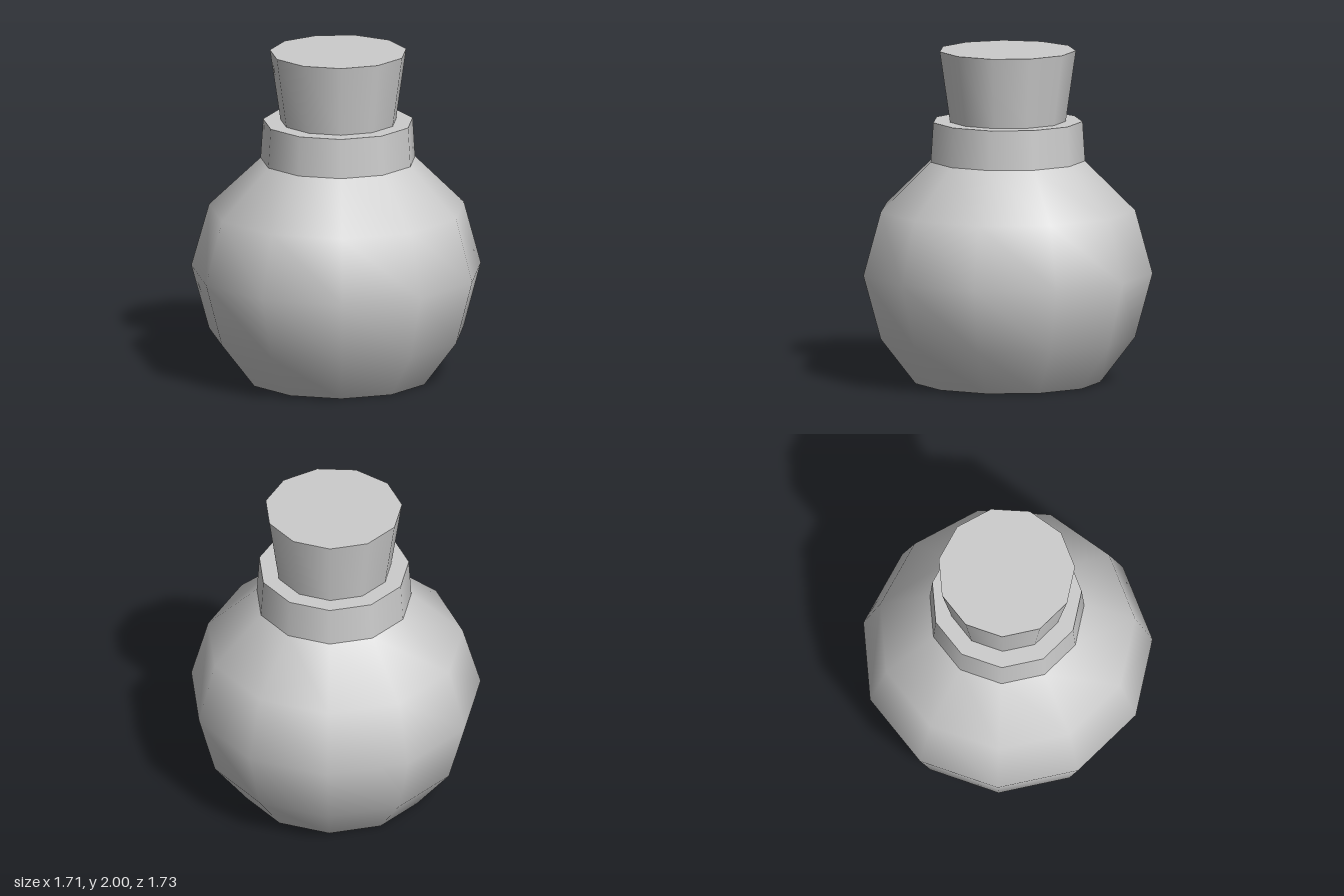
import * as THREE from 'three';

const SIDES = 11;
const SHIFT = 0.0215; // re-centres each odd-sided ring on its own width

const material = new THREE.MeshStandardMaterial({ color: 0xcccccc });

// Smooth eleven-sided surface from [radius, height] pairs, with a corner on +x
function turned(name, profile) {
  const points = profile.map(([r, y]) => new THREE.Vector2(r, y));
  const geometry = new THREE.LatheGeometry(points, SIDES, Math.PI / 2);
  const pos = geometry.attributes.position;
  for (let i = 0; i < pos.count; i++) {
    pos.setX(i, pos.getX(i) - SHIFT * Math.hypot(pos.getX(i), pos.getZ(i)));
  }
  geometry.normalizeNormals();
  const mesh = new THREE.Mesh(geometry, material);
  mesh.name = name;
  return mesh;
}

export function createModel() {
  const model = new THREE.Group();
  model.name = 'stopperedFlask';

  // Round body on a flat base
  const body = new THREE.Group();
  body.name = 'body';
  body.add(
    turned('base', [[0, 0], [0.559, 0]]),
    turned('bulb', [[0.559, 0], [0.77, 0.275], [0.875, 0.66], [0.77, 1.04], [0.467, 1.335]]),
  );

  // Short collar around the mouth
  const collar = new THREE.Group();
  collar.name = 'collar';
  collar.add(
    turned('collarWall', [[0.467, 1.335], [0.452, 1.573]]),
    turned('collarRim', [[0.452, 1.573], [0, 1.573]]),
  );

  // Stopper flaring towards its flat top
  const stopper = new THREE.Group();
  stopper.name = 'stopper';
  stopper.add(
    turned('stopperWall', [[0.35, 1.573], [0.412, 2]]),
    turned('stopperTop', [[0.412, 2], [0, 2]]),
  );

  model.add(body, collar, stopper);
  return model;
}
